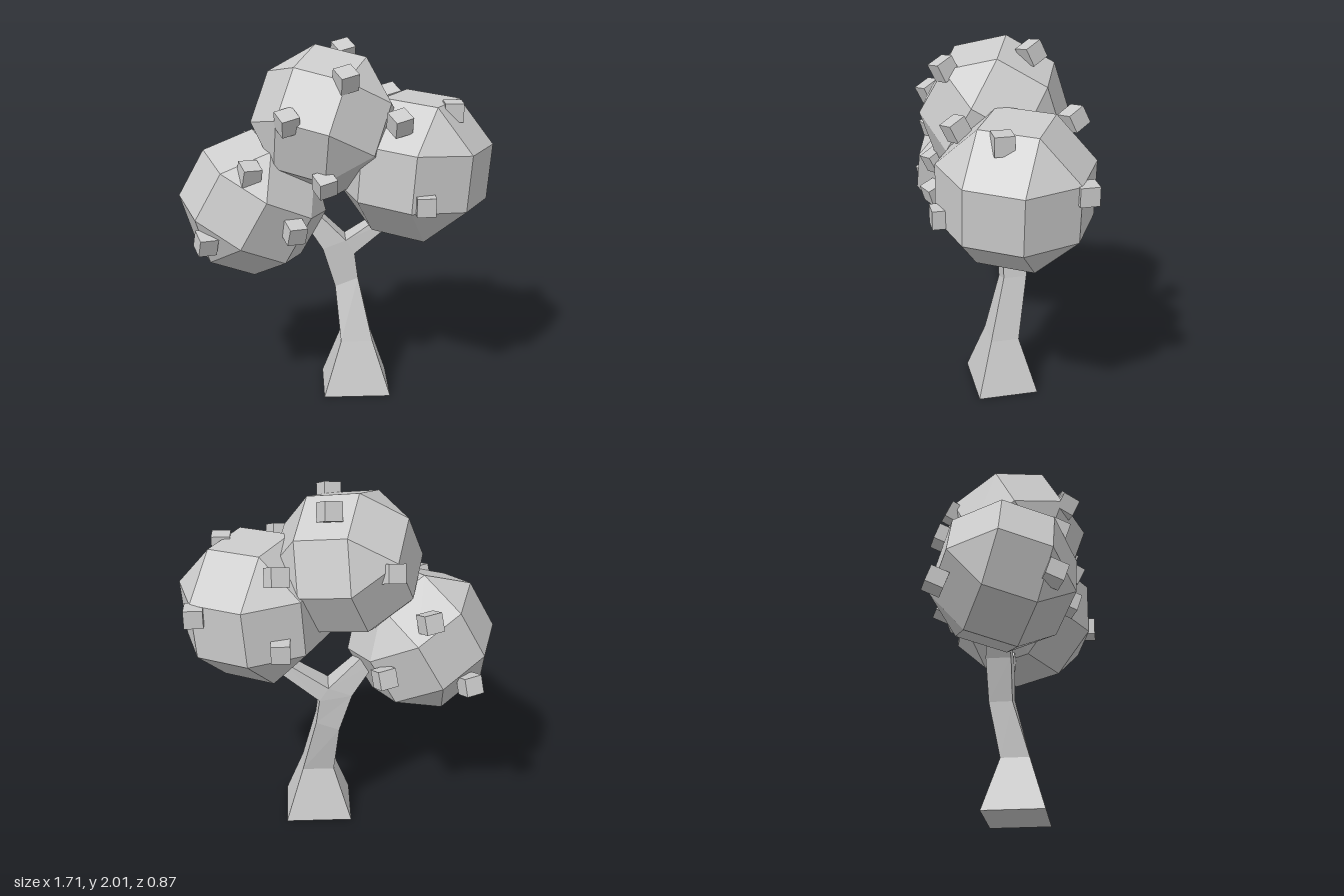
import * as THREE from 'three';
import { ConvexGeometry } from 'three/addons/geometries/ConvexGeometry.js';

const material = new THREE.MeshStandardMaterial({ color: 0xcccccc, flatShading: true });
const rad = THREE.MathUtils.degToRad;

// Four-sided loft. Each section: [xLeft, yLeft, xRight, yRight, zBack, zFront]
function loft(sections) {
  const positions = [], index = [];
  for (const [xl, yl, xr, yr, zb, zf] of sections) {
    positions.push(xl, yl, zf, xr, yr, zf, xr, yr, zb, xl, yl, zb);
  }
  for (let s = 0; s < sections.length - 1; s++) {
    for (let i = 0; i < 4; i++) {
      const a = s * 4 + i, b = s * 4 + (i + 1) % 4;
      index.push(a, b, b + 4, a, b + 4, a + 4);
    }
  }
  const t = (sections.length - 1) * 4;
  index.push(0, 2, 1, 0, 3, 2, t, t + 1, t + 2, t, t + 2, t + 3);
  const indexed = new THREE.BufferGeometry();
  indexed.setAttribute('position', new THREE.Float32BufferAttribute(positions, 3));
  indexed.setIndex(index);
  const geometry = indexed.toNonIndexed();
  geometry.computeVertexNormals();
  return geometry;
}

// Cube with every edge and corner cut: six squares, twelve edge faces, eight triangles
function bevelledCube(half) {
  const long = half * (1 + Math.SQRT2);
  const points = [];
  for (const sx of [-1, 1]) for (const sy of [-1, 1]) for (const sz of [-1, 1]) {
    points.push(
      new THREE.Vector3(sx * long, sy * half, sz * half),
      new THREE.Vector3(sx * half, sy * long, sz * half),
      new THREE.Vector3(sx * half, sy * half, sz * long)
    );
  }
  return new ConvexGeometry(points);
}

export function createModel() {
  const group = new THREE.Group();
  const add = (name, geometry, parent = group) => {
    const mesh = new THREE.Mesh(geometry, material);
    mesh.name = name;
    parent.add(mesh);
    return mesh;
  };

  // Trunk closes to a ridge at the fork, where the two branches start
  add('trunk', loft([
    [-0.07, 0, 0.31, 0, -0.17, 0.17],
    [0.03, 0.31, 0.21, 0.31, -0.08, 0.08],
    [0, 0.62, 0.13, 0.67, -0.14, -0.01],
    [-0.07, 0.85, 0.11, 0.82, -0.15, -0.01],
    [0.06, 0.9, 0.06, 0.9, -0.15, -0.01]
  ]));
  add('rightBranch', loft([
    [-0.07, 0.85, 0.06, 0.9, -0.15, -0.01],
    [-0.2, 1.05, -0.12, 1.08, -0.13, -0.03]
  ]));
  add('leftBranch', loft([
    [0.06, 0.9, 0.11, 0.82, -0.15, -0.01],
    [0.3, 1.06, 0.38, 1.04, -0.13, -0.03]
  ]));

  // Crowns with their leaf cubes
  const crownGeometry = bevelledCube(0.168);
  const leafGeometry = new THREE.BoxGeometry(0.1, 0.1, 0.1);
  const crowns = [
    {
      name: 'rightCrown', at: [-0.455, 1.137, 0], turn: [0, 25, -29], scale: [0.87, 0.87, 0.86],
      leafTurn: [20, 20, -10],
      leaves: [[-0.46, 1.39, 0.28], [-0.23, 1.08, 0.32], [-0.7, 1.01, 0.28],
        [-0.46, 1.39, -0.33], [-0.23, 1.08, -0.35], [-0.69, 1.01, -0.32]]
    },
    {
      name: 'topCrown', at: [-0.05, 1.6, 0], turn: [-25, -15, -19], scale: [0.87, 0.87, 0.88],
      leafTurn: [25, 25, 0],
      leaves: [[0.04, 1.88, 0.29], [0.05, 1.94, -0.17], [-0.26, 1.67, 0.32], [0.32, 1.65, 0.28],
        [-0.07, 1.34, 0.33], [0.32, 1.66, -0.33], [-0.26, 1.66, -0.31]]
    },
    {
      name: 'leftCrown', at: [0.44, 1.345, 0], turn: [0, -30, -4], scale: [0.93, 0.92, 0.93],
      leafTurn: [0, 0, 0],
      leaves: [[0.62, 1.67, 0.11], [0.45, 1.24, 0.39], [0.75, 1.43, -0.28], [0.31, 1.27, -0.38]]
    }
  ];
  for (const { name, at, turn, scale, leafTurn, leaves } of crowns) {
    const part = new THREE.Group();
    part.name = name + 'Group';
    group.add(part);
    const crown = add(name, crownGeometry, part);
    crown.position.set(...at);
    crown.rotation.set(...turn.map(rad), 'XZY');
    crown.scale.set(...scale);
    leaves.forEach((position, i) => {
      const leaf = add('leafCube' + (i + 1), leafGeometry, part);
      leaf.position.set(...position);
      leaf.rotation.set(...leafTurn.map(rad));
    });
  }
  return group;
}
